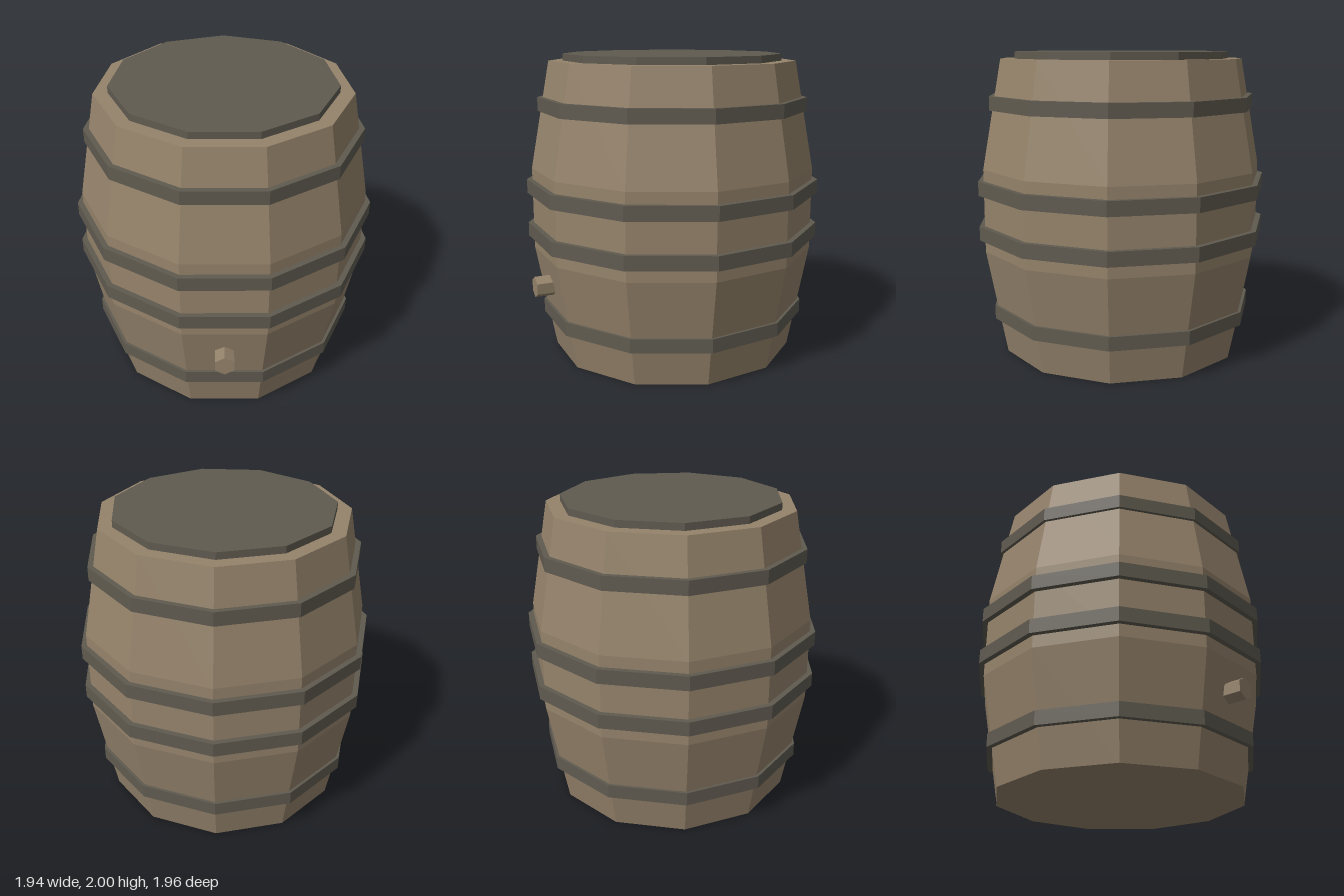
import * as THREE from 'three';

const SIDES = 11;

export function createModel() {
  const barrel = new THREE.Group();
  barrel.name = 'barrel';

  const wood = new THREE.MeshStandardMaterial({ color: 0x95836b, flatShading: true });
  wood.name = 'wood';
  const iron = new THREE.MeshStandardMaterial({ color: 0x605b50, flatShading: true });
  iron.name = 'iron';

  // Eleven-sided solid of revolution with a corner pointing straight back
  function turned(name, profile, material) {
    const points = profile.map(([r, y]) => new THREE.Vector2(r, y));
    const mesh = new THREE.Mesh(new THREE.LatheGeometry(points, SIDES, Math.PI), material);
    mesh.name = name;
    barrel.add(mesh);
  }

  // Staved body with closed ends
  turned('body', [[0, 0], [0.813, 0], [0.944, 0.705], [0.944, 1.25], [0.813, 1.955], [0, 1.955]], wood);

  // Lid plate
  turned('lid', [[0.72, 1.95], [0.72, 2], [0, 2]], iron);

  // Hoops: bottom, top and outer radius; the inner edge is sunk into the body
  const hoops = [
    ['lowerHoop', 0.24, 0.33, 0.893],
    ['lowerMiddleHoop', 0.785, 0.878, 0.98],
    ['upperMiddleHoop', 1.082, 1.175, 0.98],
    ['upperHoop', 1.63, 1.72, 0.893],
  ];
  for (const [name, y0, y1, r] of hoops) {
    turned(name, [[r - 0.1, y0], [r, y0], [r, y1], [r - 0.1, y1]], iron);
  }

  // Hexagonal bung low on the front
  const bung = new THREE.Mesh(new THREE.CylinderGeometry(0.07, 0.07, 0.18, 6), wood);
  bung.name = 'bung';
  bung.rotation.x = Math.PI / 2;
  bung.position.set(0, 0.508, 0.893);
  barrel.add(bung);

  return barrel;
}
